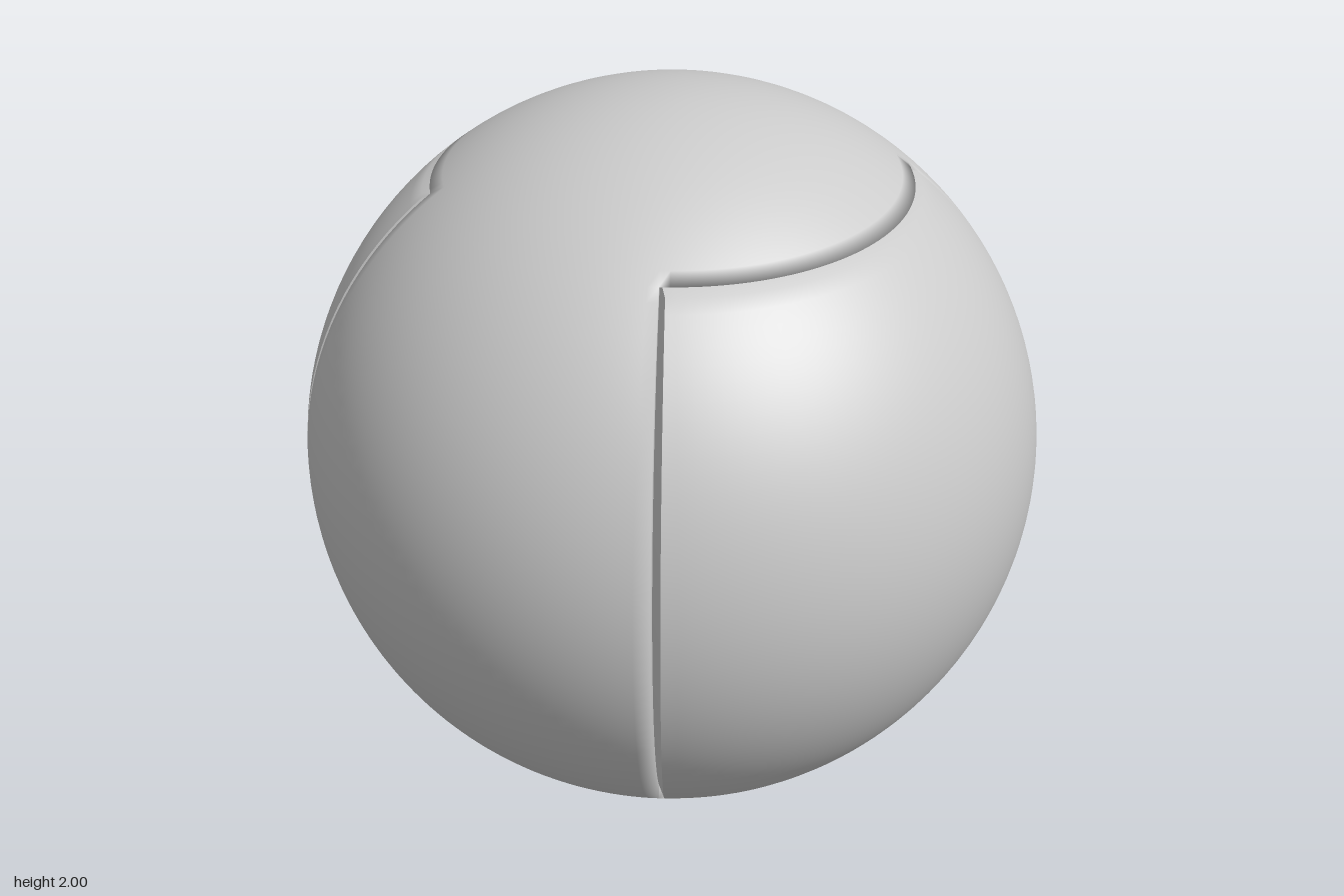
import * as THREE from 'three';
import { mergeVertices, toCreasedNormals } from 'three/addons/utils/BufferGeometryUtils.js';

const CZ = -0.055; // sphere centre in z (radius 1, centre height 1)
const GREY = { color: 0xcccccc };

// Point on the ball; longitude runs from the front (+z) towards +x, in degrees
function onBall(lon, lat) {
  const a = THREE.MathUtils.degToRad(lon), b = THREE.MathUtils.degToRad(lat);
  return new THREE.Vector3(Math.sin(a) * Math.cos(b), 1 + Math.sin(b), CZ + Math.cos(a) * Math.cos(b));
}

// Fill the spans between break angles with even steps
function subdivide(breaks, step = 2.5) {
  const out = [breaks[0]];
  for (let i = 1; i < breaks.length; i++) {
    const a = breaks[i - 1], b = breaks[i], n = Math.ceil((b - a) / step - 1e-6);
    for (let k = 1; k <= n; k++) out.push(k === n ? b : a + (b - a) * k / n);
  }
  return out;
}

const between = (list, a, b) => list.filter(v => v >= a && v <= b);

// Quads of a longitude/latitude patch, leaving out any holes
function patch(lons, lats, holes = [], map = onBall) {
  const quads = [];
  for (let i = 0; i < lons.length - 1; i++) {
    for (let j = 0; j < lats.length - 1; j++) {
      const u = (lons[i] + lons[i + 1]) / 2, v = (lats[j] + lats[j + 1]) / 2;
      if (holes.some(h => u > h[0] && u < h[1] && v > h[2] && v < h[3])) continue;
      quads.push([map(lons[i], lats[j]), map(lons[i + 1], lats[j]),
        map(lons[i + 1], lats[j + 1]), map(lons[i], lats[j + 1])]);
    }
  }
  return quads;
}

// Closed counter-clockwise border of a patch
function border(lons, lats) {
  const l0 = lons[0], l1 = lons.at(-1), t0 = lats[0], t1 = lats.at(-1);
  return [
    ...lons.map(l => [l, t0]), ...lats.slice(1).map(t => [l1, t]),
    ...lons.slice(0, -1).reverse().map(l => [l, t1]), ...lats.slice(0, -1).reverse().map(t => [l0, t]),
  ];
}

// Wall joining an outer loop to an inner loop; it faces into the loop
function wall(outer, inner, flip = false) {
  const quads = [];
  for (let i = 0; i < outer.length - 1; i++) {
    const q = [outer[i], outer[i + 1], inner[i + 1], inner[i]];
    quads.push(flip ? q.reverse() : q);
  }
  return quads;
}

function build(quads, crease) {
  const pos = [];
  for (const [a, b, c, d] of quads) for (const p of [a, b, c, a, c, d]) pos.push(p.x, p.y, p.z);
  let geo = new THREE.BufferGeometry();
  geo.setAttribute('position', new THREE.Float32BufferAttribute(pos, 3));
  if (crease) return toCreasedNormals(geo, crease);
  geo = mergeVertices(geo);
  geo.computeVertexNormals();
  return geo;
}

function addMesh(group, name, geo) {
  const mesh = new THREE.Mesh(geo, new THREE.MeshStandardMaterial(GREY));
  mesh.name = name;
  group.add(mesh);
}

// Bottom of the groove: drawn in towards the vertical axis
const sunk = p => new THREE.Vector3(p.x * 0.92, p.y, CZ + (p.z - CZ) * 0.92);

export function createModel() {
  const group = new THREE.Group();
  group.name = 'panelledBall';

  const lons = subdivide([0, 36.5, 39, 141, 143.5, 147.4, 212.6, 216.5, 219, 321, 323.5, 360]);
  const lats = subdivide([-90, -53.3, -50.8, -26.7, 39.05, 50.8, 53.3, 90]);
  const sides = [[39, 141, -50.8, 50.8], [219, 321, -50.8, 50.8]];
  const window = [147.4, 212.6, -26.7, 39.05];

  // Shell: caps, front and back strips, with soft edges turning into the grooves
  const shell = patch(lons, lats, [...sides, window]);
  for (const s of sides) {
    const edge = border(between(lons, s[0], s[1]), between(lats, s[2], s[3])).map(p => onBall(...p));
    shell.push(...wall(edge, edge.map(sunk)));
  }
  addMesh(group, 'shell', build(shell));

  // Side panels, slightly smaller than their openings, with crisp edges
  sides.forEach((s, i) => {
    const inLons = subdivide([s[0] + 1.4, s[1] - 1.4]), inLats = subdivide([s[2] + 1.6, s[3] - 1.6]);
    const rim = border(inLons, inLats);
    const mid = (s[0] + s[1]) / 2;
    const fitLon = 51 / 49.6, fitLat = 50.8 / 49.2;
    const floor = rim.map(([l, t]) => sunk(onBall(mid + (l - mid) * fitLon, t * fitLat)));
    const quads = patch(inLons, inLats);
    quads.push(...wall(rim.map(p => onBall(...p)), floor, true));
    addMesh(group, i ? 'rightPanel' : 'leftPanel', build(quads, 0.5));
  });

  // Back window: tapering walls down to a flat plate
  const winLons = between(lons, window[0], window[1]), winLats = between(lats, window[2], window[3]);
  const plate = (lon, lat) => {
    const p = onBall(lon, lat);
    return new THREE.Vector3(p.x * 0.905, 0.55 + (p.y - 0.55) * 0.963, -0.712);
  };
  const rim = border(winLons, winLats);
  addMesh(group, 'windowWalls', build(wall(rim.map(p => onBall(...p)), rim.map(p => plate(...p))), 0.5));
  addMesh(group, 'windowPlate', build(patch(winLons, winLats, [], plate)));

  return group;
}
